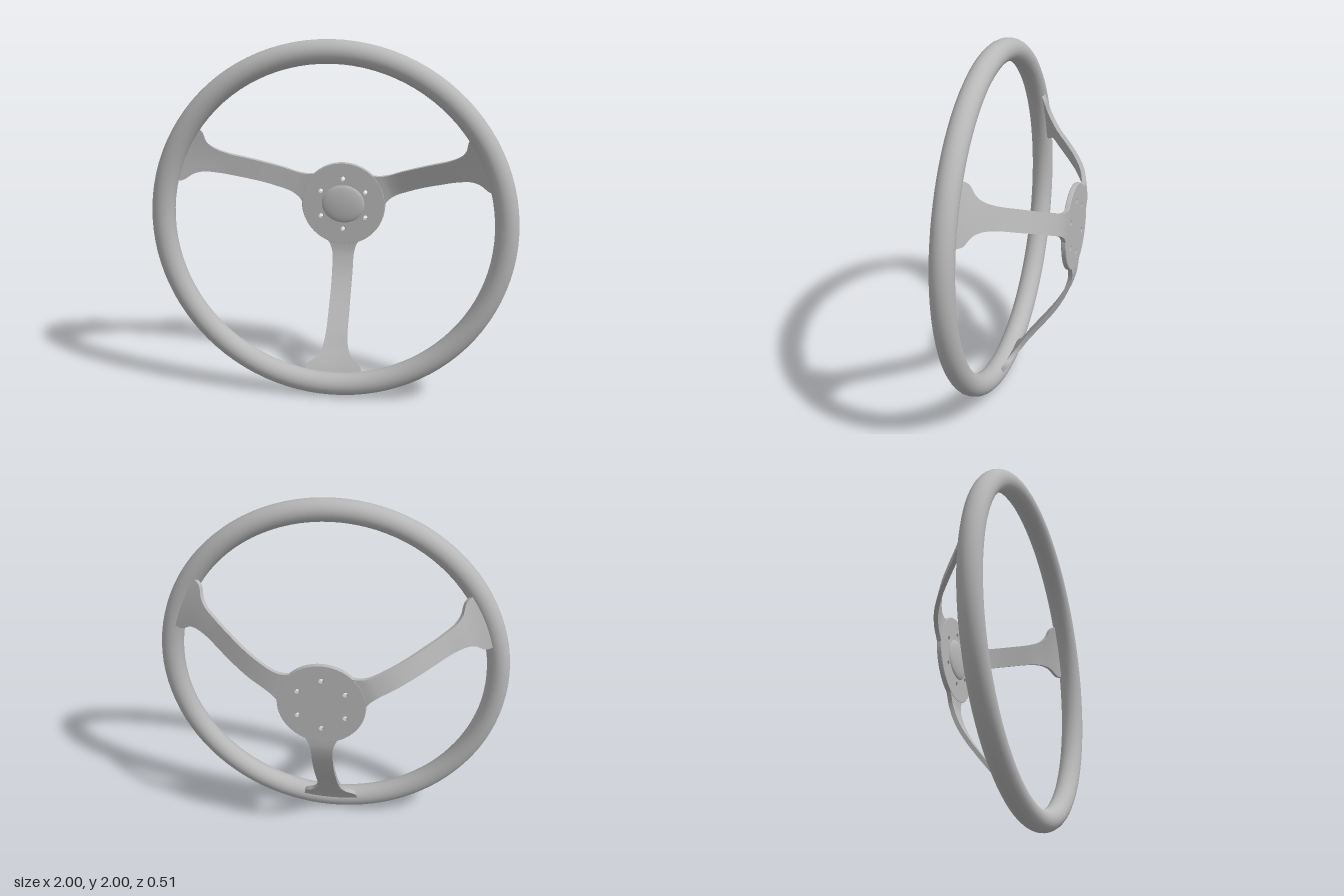
import * as THREE from 'three';

const metal = new THREE.MeshStandardMaterial({ color: 0xb8b8b8 });
metal.name = 'plain grey';

const HUB_Z = -0.2415;

// Spoke stations: x = half width, y = distance from the centre, z = depth
const spokeLine = new THREE.CatmullRomCurve3([
  [0.115, 0.19, -0.2415], [0.078, 0.245, -0.2415], [0.062, 0.3, -0.236],
  [0.059, 0.4, -0.203], [0.058, 0.5, -0.147], [0.059, 0.6, -0.075],
  [0.061, 0.7, 0.002], [0.074, 0.78, 0.056], [0.1, 0.825, 0.088],
  [0.15, 0.868, 0.116], [0.165, 0.915, 0.142],
].map(p => new THREE.Vector3(...p)));

// A box bent along the spoke line, with its width following the stations
function spokeGeometry() {
  const thickness = 0.024;
  const geo = new THREE.BoxGeometry(2, 1, 1, 6, 48, 1);
  const pos = geo.attributes.position;
  for (let i = 0; i < pos.count; i++) {
    const t = pos.getY(i) + 0.5;
    const p = spokeLine.getPoint(t);
    const d = spokeLine.getTangent(t).setX(0).normalize();
    const off = pos.getZ(i) * thickness;
    const x = pos.getX(i) * p.x;
    // outer end follows the curve of the rim
    const sag = t > 0.6 ? x * x * 0.5 : 0;
    pos.setXYZ(i, x, p.y - d.z * off - sag, p.z + d.y * off);
  }
  geo.computeVertexNormals();
  return geo;
}

// Round plate pierced by a ring of bolt holes
function hubGeometry() {
  const shape = new THREE.Shape().absarc(0, 0, 0.243, 0, Math.PI * 2);
  for (let i = 0; i < 6; i++) {
    const a = Math.PI / 6 + i * Math.PI / 3;
    const hole = new THREE.Path();
    hole.absarc(Math.cos(a) * 0.15, Math.sin(a) * 0.15, 0.012, 0, Math.PI * 2, true);
    shape.holes.push(hole);
  }
  return new THREE.ExtrudeGeometry(shape, {
    depth: 0.019, bevelThickness: 0.004, bevelSize: 0.003, bevelOffset: -0.003,
    bevelSegments: 1, curveSegments: 32,
  }).translate(0, 0, HUB_Z - 0.0095);
}

export function createModel() {
  const wheel = new THREE.Group();
  wheel.name = 'steeringWheel';
  wheel.position.y = 1;

  const add = (name, geo) => {
    const mesh = new THREE.Mesh(geo, metal);
    mesh.name = name;
    wheel.add(mesh);
    return mesh;
  };

  // Rim
  add('rim', new THREE.TorusGeometry(0.9365, 0.0635, 20, 96)).position.z = 0.188;

  // Hub plate and its shallow raised centre
  add('hubPlate', hubGeometry());
  const dome = add('hubCentre', new THREE.SphereGeometry(0.125, 32, 8, 0, Math.PI * 2, 0, Math.PI / 2)
    .rotateX(Math.PI / 2).scale(1, 0.9, 0.17));
  dome.position.z = HUB_Z + 0.0125;

  // Three dished spokes
  const geo = spokeGeometry();
  const spokes = [['lowerSpoke', -90], ['leftSpoke', 23.5], ['rightSpoke', 156.5]];
  for (const [name, angle] of spokes) {
    add(name, geo).rotation.z = THREE.MathUtils.degToRad(angle - 90);
  }
  return wheel;
}
